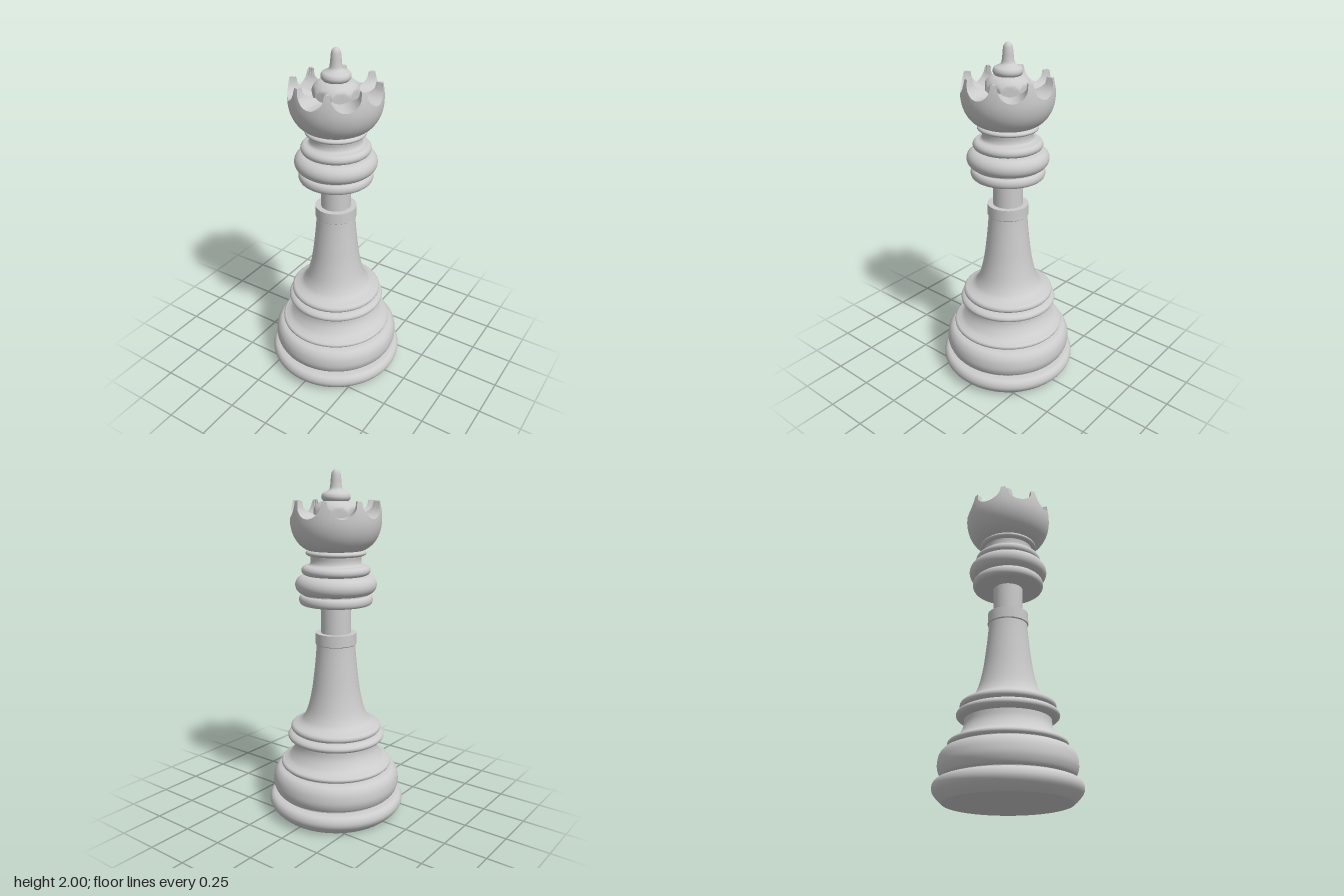
import * as THREE from 'three';
import { mergeGeometries, toCreasedNormals } from 'three/addons/utils/BufferGeometryUtils.js';

const material = new THREE.MeshStandardMaterial({ color: 0xcccccc });

// Turned part: each run of [radius, y] points is a smooth curve; edges between runs stay sharp.
function turned(name, runs, segments = 72) {
  const lathes = runs.map((run) => {
    const points = run.map(([r, y]) => new THREE.Vector2(r, y));
    const curve = new THREE.SplineCurve(points);
    const samples = run.length > 2 ? curve.getPoints((run.length - 1) * 5) : points;
    samples.forEach((p) => { p.x = Math.max(p.x, 0); });
    return new THREE.LatheGeometry(samples, segments);
  });
  const mesh = new THREE.Mesh(mergeGeometries(lathes), material);
  mesh.name = name;
  return mesh;
}

// Rounded ring between two heights, from inner radius out to outer radius.
function bead(inner, outer, y0, y1) {
  const points = [];
  for (let i = 0; i <= 8; i++) {
    const a = -Math.PI / 2 + (i / 8) * Math.PI;
    points.push([inner + (outer - inner) * Math.cos(a), (y0 + y1) / 2 + ((y1 - y0) / 2) * Math.sin(a)]);
  }
  return points;
}

// Crown: a bowl with eight radial round notches around an octagonal core.
function crownGeometry() {
  const sector = Math.PI / 4, steps = 28;
  const notchR = 0.08, notchY = 1.82, tipY = 1.832, bottomY = 1.56, coreTop = 1.83;

  const bowlRadius = (y) => y < 1.73
    ? 0.12 + 0.135 * Math.sqrt(1 - ((1.73 - y) / 0.175) ** 2)
    : 0.255 - 0.01 * ((y - 1.73) / 0.1) ** 2;
  const coreRadius = (y) => 0.065 + 0.07 * Math.sqrt(Math.max(0, 1 - ((y - 1.74) / 0.09) ** 2));
  const notchHeight = (r, local) => {
    const d = Math.abs(r * Math.sin(local));
    return d < notchR ? notchY - Math.sqrt(notchR ** 2 - d ** 2) : tipY;
  };

  // Closed column of [radius, y] from the foot of the bowl over the rim to the core
  function column(local) {
    let low = 1.7, high = tipY;
    for (let i = 0; i < 30; i++) {
      const mid = (low + high) / 2;
      if (notchHeight(bowlRadius(mid), local) > mid) low = mid; else high = mid;
    }
    const rimY = low, rimR = bowlRadius(rimY), octR = 0.12 / Math.cos(local);
    const points = [];
    for (let i = 0; i <= 18; i++) {
      const y = bottomY + (rimY - bottomY) * (i / 18) ** 1.3;
      points.push([bowlRadius(y), y]);
    }
    for (let i = 1; i <= 20; i++) {
      const r = rimR + (octR - rimR) * (i / 20);
      points.push([r, Math.min(notchHeight(r, local), tipY)]);
    }
    const floorY = notchHeight(octR, local);
    for (let i = 1; i <= 14; i++) {
      const y = floorY + (coreTop - floorY) * Math.sin((i / 14) * Math.PI / 2);
      points.push([Math.min(octR, coreRadius(y)), y]);
    }
    return points;
  }

  const positions = [], indices = [];
  const columns = 8 * steps;
  let rows = 0;
  for (let c = 0; c < columns; c++) {
    // Columns crowd together towards the points between notches
    const t = ((c % steps) / steps) * 2 - 1;
    const local = (sector / 2) * Math.sin((t * Math.PI) / 2);
    const angle = Math.floor(c / steps) * sector + local;
    const points = column(local);
    rows = points.length;
    for (const [r, y] of points) positions.push(r * Math.sin(angle), y, r * Math.cos(angle));
  }
  for (let c = 0; c < columns; c++) {
    for (let i = 0; i < rows - 1; i++) {
      const a = c * rows + i, b = ((c + 1) % columns) * rows + i;
      indices.push(a, b, b + 1, a, b + 1, a + 1);
    }
  }
  const geometry = new THREE.BufferGeometry();
  geometry.setAttribute('position', new THREE.Float32BufferAttribute(positions, 3));
  geometry.setIndex(indices);
  return toCreasedNormals(geometry, 0.6);
}

export function createModel() {
  const model = new THREE.Group();
  model.name = 'chessQueen';

  // Foot and stacked base mouldings
  model.add(turned('foot', [
    [[0, 0], [0.345, 0]],
    [[0.345, 0], [0.37, 0.022], [0.393, 0.05], [0.4, 0.075], [0.393, 0.1], [0.375, 0.115], [0.34, 0.12]],
    [[0.34, 0.12], [0.34, 0.128]],
  ]));
  model.add(turned('baseBulge', [
    [[0.33, 0.125], [0.355, 0.135], [0.372, 0.17], [0.375, 0.205], [0.367, 0.245], [0.345, 0.275], [0.31, 0.285]],
    [[0.31, 0.285], [0.31, 0.293]],
  ]));
  model.add(turned('baseWaist', [
    bead(0.305, 0.327, 0.29, 0.325),
    [[0.31, 0.325], [0.28, 0.342], [0.255, 0.375], [0.242, 0.41], [0.24, 0.45]],
  ]));
  model.add(turned('upperBaseRings', [
    bead(0.24, 0.285, 0.445, 0.5),
    bead(0.24, 0.266, 0.502, 0.547),
  ]));

  // Flared stem with a collar, and the thin neck standing in it
  model.add(turned('stem', [
    [[0.25, 0.545], [0.215, 0.56], [0.19, 0.585], [0.165, 0.64], [0.142, 0.74], [0.126, 0.86], [0.116, 0.96], [0.112, 1.02]],
    [[0.112, 1.02], [0.118, 1.025]],
    [[0.118, 1.025], [0.118, 1.09]],
    [[0.118, 1.09], [0.08, 1.09]],
  ]));
  model.add(turned('neck', [[[0.086, 1.08], [0.086, 1.26]]]));

  // Collar mouldings below the crown
  model.add(turned('collar', [
    [[0, 1.256], [0.19, 1.256]],
    bead(0.19, 0.21, 1.256, 1.312),
    [[0.19, 1.312], [0.19, 1.32]],
    bead(0.175, 0.231, 1.315, 1.422),
    bead(0.165, 0.195, 1.422, 1.477),
    [[0.175, 1.475], [0.15, 1.483], [0.142, 1.505], [0.145, 1.535]],
    bead(0.145, 0.17, 1.53, 1.562),
  ]));

  // Notched crown
  const crown = new THREE.Mesh(crownGeometry(), material);
  crown.name = 'crown';
  model.add(crown);

  // Finial on the crown's core
  model.add(turned('finial', [
    [[0.065, 1.825], [0.077, 1.838], [0.081, 1.853], [0.074, 1.87], [0.055, 1.88]],
    [[0.055, 1.88], [0.037, 1.893], [0.031, 1.92], [0.028, 1.955], [0.023, 1.982], [0.012, 1.996], [0, 2]],
  ], 48));

  return model;
}
